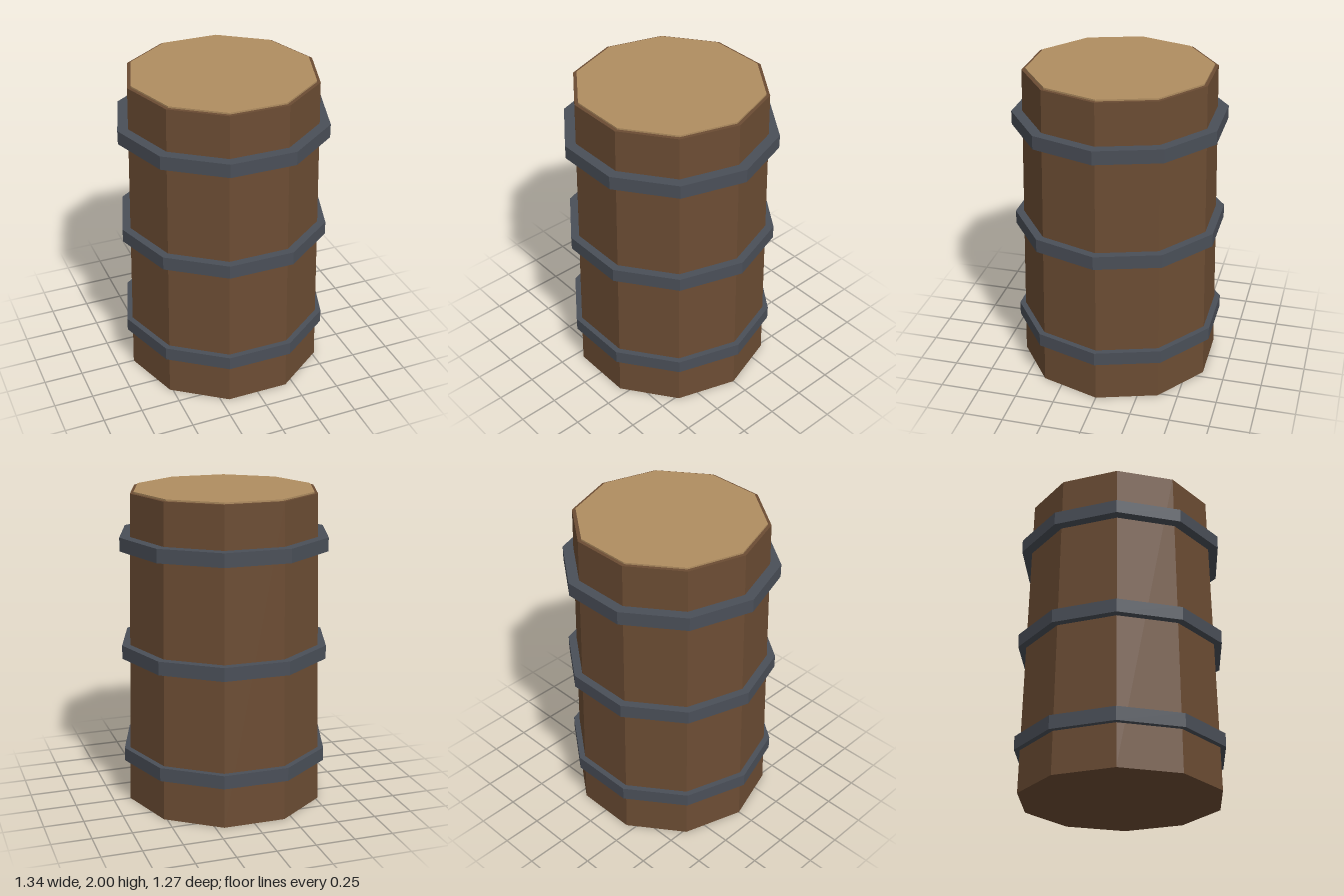
import * as THREE from 'three';

const SIDES = 10;

export function createModel() {
  const model = new THREE.Group();
  model.name = 'barrel';

  const material = (name, color) => {
    const m = new THREE.MeshStandardMaterial({ color, flatShading: true });
    m.name = name;
    return m;
  };
  const wood = material('brown wood', 0x6b4c33);
  const iron = material('dark iron', 0x4a4f58);
  const paleWood = material('pale wood', 0xb08d60);

  // Ten-sided drum with corners on the x axis and a flat face to the front
  const drum = (name, mat, rTop, rBottom, y0, y1) => {
    const geo = new THREE.CylinderGeometry(rTop, rBottom, y1 - y0, SIDES, 1, false, Math.PI / SIDES);
    const mesh = new THREE.Mesh(geo, mat);
    mesh.name = name;
    mesh.position.y = (y0 + y1) / 2;
    model.add(mesh);
  };

  // Tapered body
  drum('body', wood, 0.597, 0.64, 0, 1.99);

  // Lid, slightly inset and raised above the rim
  drum('lid', paleWood, 0.575, 0.575, 1.96, 2);

  // Three equal hoops
  [['lowerHoop', 0.312], ['middleHoop', 0.997], ['upperHoop', 1.682]].forEach(([name, y]) =>
    drum(name, iron, 0.67, 0.67, y - 0.043, y + 0.043));

  return model;
}
